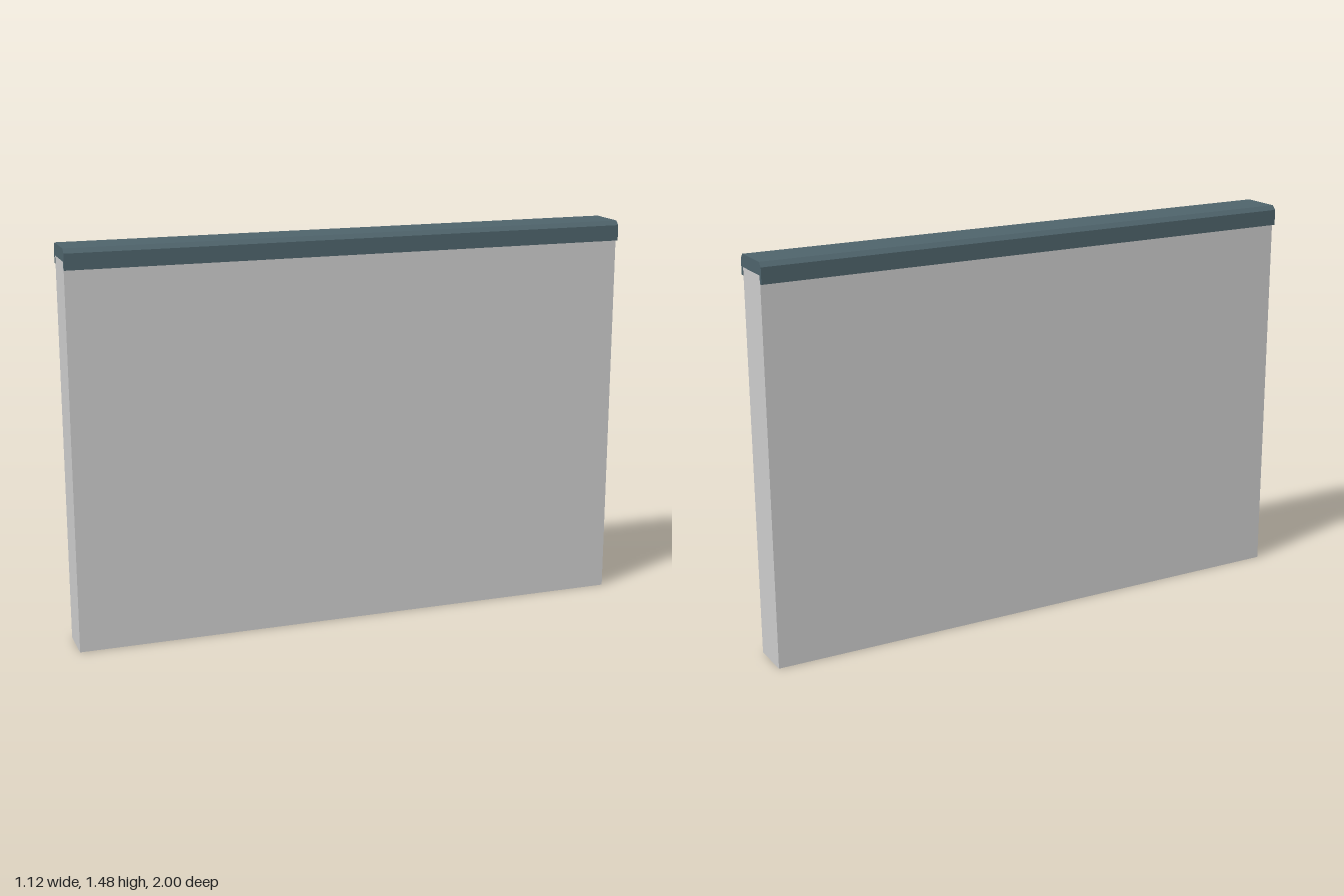
import * as THREE from 'three';

export function createModel() {
  const model = new THREE.Group();
  model.name = 'cappedWall';
  const length = 2.135;
  const half = 0.078; // half thickness of the wall
  const wallTop = 1.437;

  // Wall panel
  const wall = new THREE.Mesh(
    new THREE.BoxGeometry(half * 2, wallTop, length),
    new THREE.MeshStandardMaterial({ color: 0xcccccc })
  );
  wall.name = 'wallPanel';
  wall.position.y = wallTop / 2;

  // Coping: chamfered channel that sits over the top of the wall
  const out = 0.0925, bottom = 1.408, top = 1.483, chamfer = 0.016;
  const right = [
    [half, wallTop], [half, bottom], [out, bottom],
    [out, top - chamfer], [out - chamfer, top],
  ];
  const left = right.map(([x, y]) => [-x, y]).reverse();
  const profile = new THREE.Shape([...right, ...left].map(([x, y]) => new THREE.Vector2(x, y)));
  const copingGeometry = new THREE.ExtrudeGeometry(profile, { depth: length + 0.002, bevelEnabled: false });
  copingGeometry.translate(0, 0, -length / 2 - 0.001);
  const coping = new THREE.Mesh(
    copingGeometry,
    new THREE.MeshStandardMaterial({ color: 0x4e636b })
  );
  coping.name = 'coping';

  // The whole wall runs diagonally
  const run = new THREE.Group();
  run.name = 'wallRun';
  run.rotation.y = -0.4615;
  run.add(wall, coping);
  model.add(run);
  return model;
}
